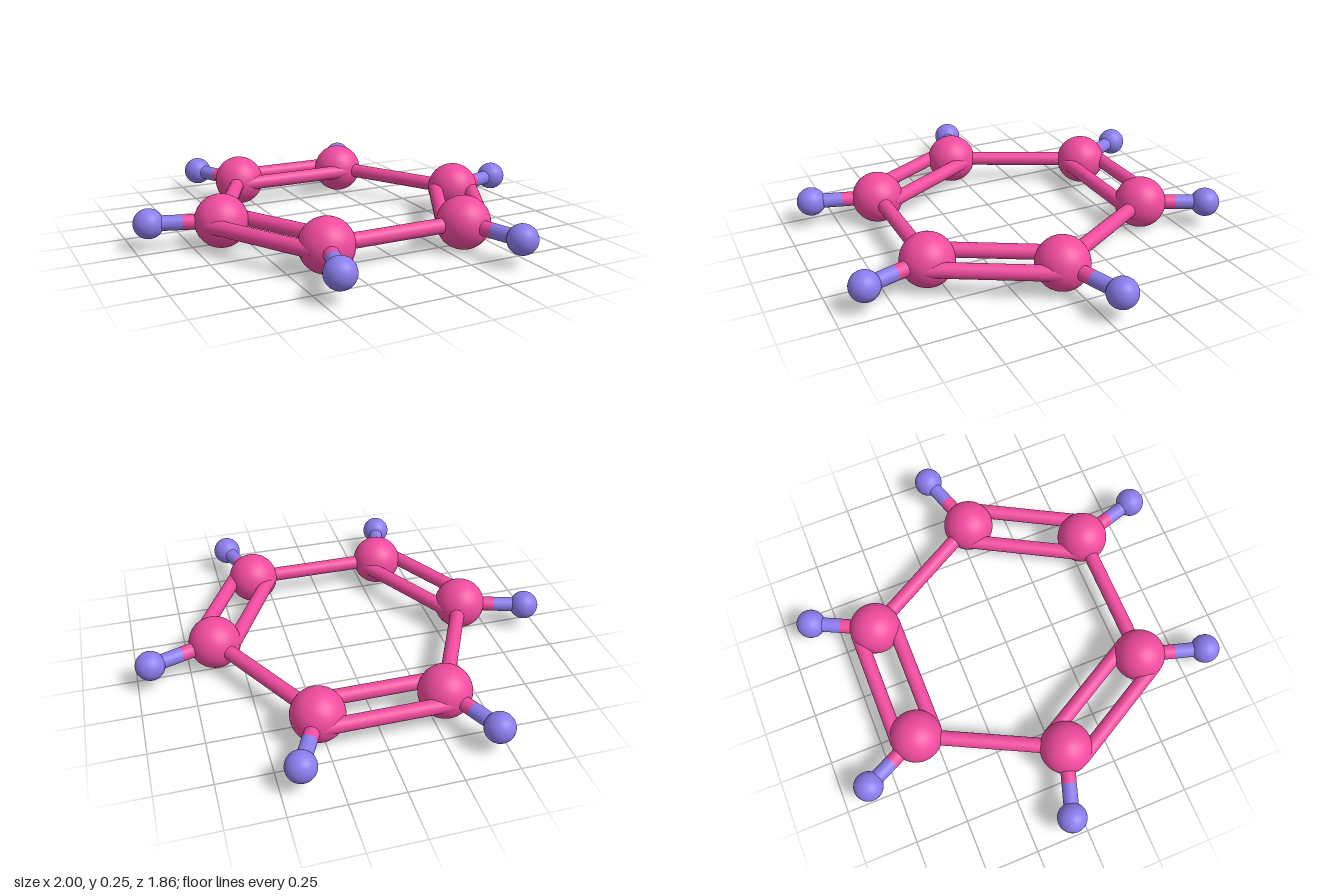
import * as THREE from 'three';

const Y = 0.123;
const ATOM_R = 0.123, TIP_R = 0.069, ROD_R = 0.035, PAIR_GAP = 0.089;

export function createModel() {
  const model = new THREE.Group();
  model.name = 'ringMolecule';
  const pink = new THREE.MeshStandardMaterial({ color: 0xf04a9e });
  const violet = new THREE.MeshStandardMaterial({ color: 0x8b7cec });

  const add = (name, geometry, material, position) => {
    const mesh = new THREE.Mesh(geometry, material);
    mesh.name = name;
    mesh.position.copy(position);
    model.add(mesh);
    return mesh;
  };

  const ball = (name, p, radius, material) =>
    add(name, new THREE.SphereGeometry(radius, 40, 28), material, p);

  // Cylinder running between two points
  const rod = (name, a, b, material) => {
    const dir = b.clone().sub(a);
    const geometry = new THREE.CylinderGeometry(ROD_R, ROD_R, dir.length(), 28);
    const mesh = add(name, geometry, material, a.clone().add(b).multiplyScalar(0.5));
    mesh.quaternion.setFromUnitVectors(new THREE.Vector3(0, 1, 0), dir.normalize());
  };

  // Ring atom x, z and outer atom x, z, in order around the ring
  const sites = [
    [-0.311, -0.580, -0.449, -0.863],
    [0.269, -0.580, 0.409, -0.863],
    [0.618, 0.045, 0.931, -0.057],
    [0.338, 0.554, 0.428, 0.862],
    [-0.342, 0.554, -0.433, 0.862],
    [-0.624, 0.045, -0.931, -0.057],
  ].map(([x, z, hx, hz]) => ({
    inner: new THREE.Vector3(x, Y, z),
    outer: new THREE.Vector3(hx, Y, hz),
  }));

  sites.forEach(({ inner, outer }, i) => {
    ball('ringAtom', inner, ATOM_R, pink);
    ball('outerAtom', outer, TIP_R, violet);

    // Two-coloured rod to the outer atom
    const split = inner.clone().lerp(outer, 0.53);
    rod('outerBondInnerHalf', inner, split, pink);
    rod('outerBondOuterHalf', split, outer, violet);

    // Alternating double and single rods around the ring
    const next = sites[(i + 1) % sites.length].inner;
    const along = next.clone().sub(inner).normalize();
    const side = new THREE.Vector3(-along.z, 0, along.x).multiplyScalar(PAIR_GAP);
    if (i % 2 === 0) {
      for (const s of [-1, 1]) {
        const shift = side.clone().multiplyScalar(s);
        rod('doubleBond', inner.clone().add(shift), next.clone().add(shift), pink);
      }
    } else {
      rod('singleBond', inner, next, pink);
    }
  });

  return model;
}
